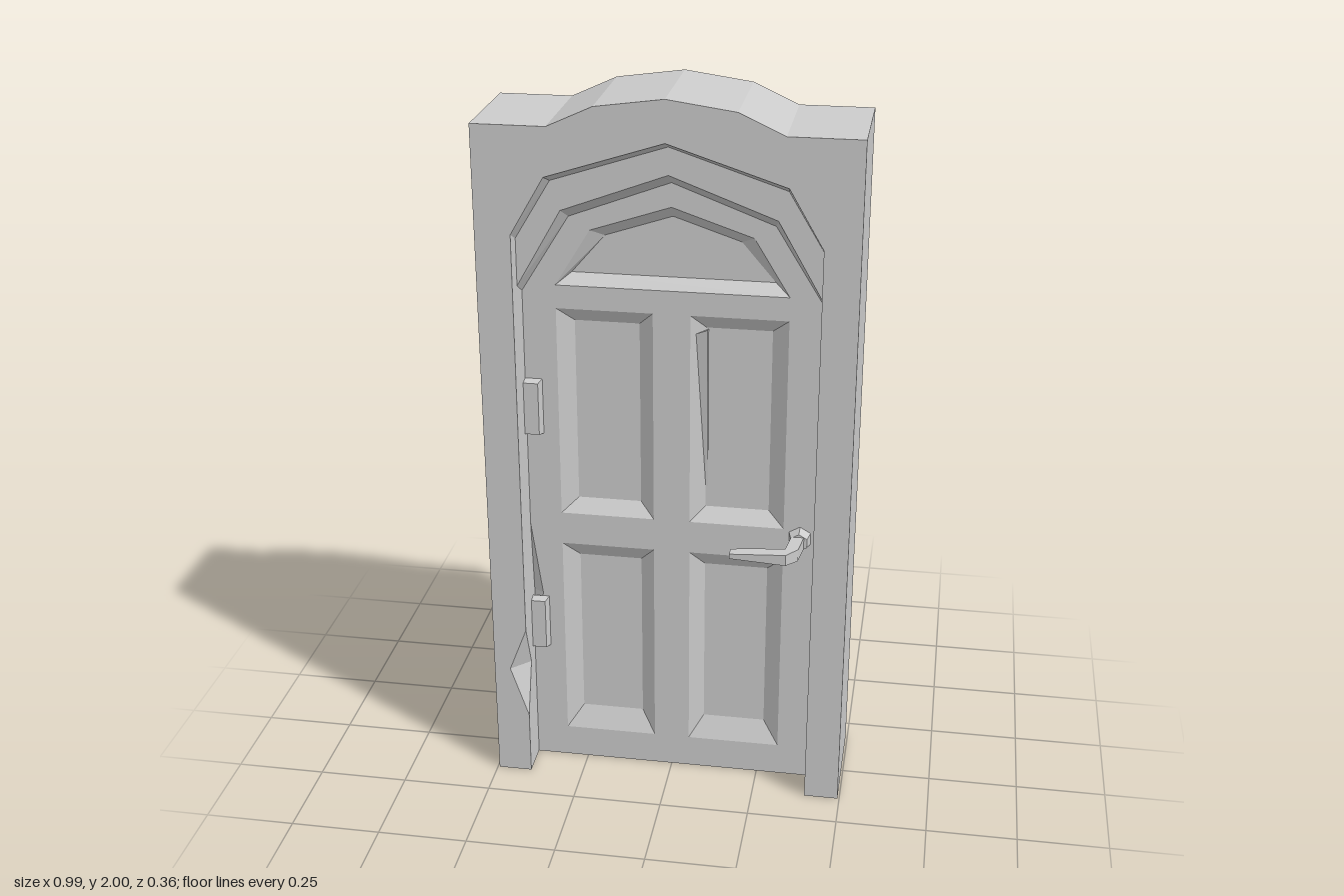
import * as THREE from 'three';
import { ConvexGeometry } from 'three/addons/geometries/ConvexGeometry.js';

const material = new THREE.MeshStandardMaterial({ color: 0xcccccc, flatShading: true, side: THREE.DoubleSide });

function add(parent, name, geometry) {
  const mesh = new THREE.Mesh(geometry, material);
  mesh.name = name;
  parent.add(mesh);
  return mesh;
}

const v2 = (list) => list.map(([x, y]) => new THREE.Vector2(x, y));
const at = (list, z) => list.map(([x, y]) => [x, y, z]);

// Flat polygon with holes, placed in space by a mapping rule
function sheet(outline, map, holes = []) {
  const shape = new THREE.Shape(v2(outline));
  holes.forEach((h) => shape.holes.push(new THREE.Path(v2(h))));
  const geo = new THREE.ShapeGeometry(shape);
  const p = geo.attributes.position;
  for (let i = 0; i < p.count; i++) p.setXYZ(i, ...map(p.getX(i), p.getY(i)));
  geo.computeVertexNormals();
  return geo;
}

// Band of quads joining two matching polylines
function strip(a, b, closed = false) {
  const pos = [];
  const n = a.length;
  for (let i = 0; i < (closed ? n : n - 1); i++) {
    const j = (i + 1) % n;
    pos.push(...a[i], ...b[i], ...b[j], ...a[i], ...b[j], ...a[j]);
  }
  return triangles(pos);
}

function triangles(pos) {
  const geo = new THREE.BufferGeometry();
  geo.setAttribute('position', new THREE.Float32BufferAttribute(pos, 3));
  geo.computeVertexNormals();
  return geo;
}

// Mirrors the left half of an arch, ending at the crown
const arch = (half) => [...half, ...half.slice(0, -1).reverse().map(([x, y]) => [-x, y])];
const rect = (x0, x1, y0, y1) => [[x0, y0], [x0, y1], [x1, y1], [x1, y0]];

const frameOutline = arch([[-0.495, 0], [-0.495, 1.92], [-0.3, 1.92], [-0.18, 1.975], [0, 2]]);
const outerArch = arch([[-0.4, 1.635], [-0.31, 1.79], [0, 1.89]]);
const outerArchInner = arch([[-0.4, 1.61], [-0.305, 1.768], [0, 1.868]]);
const doorArchOuter = arch([[-0.4, 1.48], [-0.28, 1.69], [0, 1.795]]);
const doorArch = arch([[-0.4, 1.45], [-0.27, 1.66], [0, 1.762]]);

// Outer and inner outlines of the sunken panels
const panels = [
  [arch([[-0.31, 1.47], [-0.215, 1.625], [0, 1.697]]), arch([[-0.27, 1.5], [-0.18, 1.605], [0, 1.665]])],
];
for (const [x0, x1, i0, i1] of [[-0.31, -0.05, -0.265, -0.09], [0.05, 0.31, 0.09, 0.265]]) {
  panels.push([rect(x0, x1, 0.8, 1.405), rect(i0, i1, 0.84, 1.365)]);
  panels.push([rect(x0, x1, 0.095, 0.705), rect(i0, i1, 0.16, 0.66)]);
}

// A chip is [bottom y, middle y, top y] on the x = -0.4 edge
function chipFill(parent, name, [low, mid, high], x, z, depth) {
  const tip = [x, mid, z];
  const deep = [-0.4, mid, z - depth];
  add(parent, name, triangles([-0.4, high, z, ...tip, ...deep, ...tip, -0.4, low, z, ...deep]));
}

// One face of the doorway: frame, stepped arches, door skin and panels
function doorwaySide(name, zFrame, zStep, zDoor, frameChip, doorChip) {
  const side = new THREE.Group();
  side.name = name;
  const [fl, fm, fh] = frameChip;
  const [dl, dm, dh] = doorChip;
  const flat = (z) => (x, y) => [x, y, z];

  add(side, 'frameFace', sheet([
    ...frameOutline, [0.4, 0], ...[...outerArch].reverse(),
    [-0.4, fh], [-0.45, fm], [-0.4, fl], [-0.4, 0],
  ], flat(zFrame)));
  chipFill(side, 'frameChip', frameChip, -0.45, zFrame, 0.05);

  // Reveals inside the jambs
  const top = [[zFrame, 1.635], [zStep, 1.61], [zStep, 1.48], [zDoor, 1.45]];
  add(side, 'chippedReveal', sheet([
    [zFrame, 0], [zFrame, fl], [zFrame - 0.05, fm], [zFrame, fh], ...top,
    [zDoor, dh], [zDoor - 0.02, dm], [zDoor, dl], [zDoor, 0],
  ], (z, y) => [-0.4, y, z]));
  add(side, 'plainReveal', sheet([[zFrame, 0], ...top, [zDoor, 0]], (z, y) => [0.4, y, z]));

  // Stepped arch mouldings
  add(side, 'outerArchBevel', strip(at(outerArch, zFrame), at(outerArchInner, zStep)));
  add(side, 'archStep', strip(at(outerArchInner, zStep), at(doorArchOuter, zStep)));
  add(side, 'innerArchBevel', strip(at(doorArchOuter, zStep), at(doorArch, zDoor)));

  // Door skin and sunken panels
  add(side, 'doorFace', sheet([
    [-0.4, 0], [-0.4, dl], [-0.37, dm], [-0.4, dh], ...doorArch, [0.4, 0],
  ], flat(zDoor), panels.map((p) => p[0])));
  chipFill(side, 'doorChip', doorChip, -0.37, zDoor, 0.02);
  for (const [outer, inner] of panels) {
    add(side, 'panelBevel', strip(at(outer, zDoor), at(inner, zDoor - 0.027), true));
    add(side, 'panel', sheet(inner, flat(zDoor - 0.027)));
  }
  return side;
}

// Lever handle and hinges; m = 1 puts the handle on +x, -1 on -x
function addHardware(side, m, zDoor) {
  const hub = add(side, 'handleHub', new THREE.CylinderGeometry(0.026, 0.034, 0.03, 6));
  hub.rotation.x = Math.PI / 2;
  hub.position.set(m * 0.355, 0.775, zDoor + 0.015);

  // Lever outline seen from above, thinned towards its tip
  const lever = new THREE.ExtrudeGeometry(new THREE.Shape(v2([
    [0.335, 0.02], [0.37, 0.02], [0.36, 0.1], [0.33, 0.135],
    [0.178, 0.135], [0.178, 0.105], [0.22, 0.1], [0.325, 0.098],
  ])), { depth: 1, bevelEnabled: false });
  const p = lever.attributes.position;
  for (let i = 0; i < p.count; i++) {
    const x = p.getX(i);
    const half = THREE.MathUtils.mapLinear(x, 0.178, 0.37, 0.007, 0.018);
    p.setXYZ(i, m * x, 0.775 + (p.getZ(i) - 0.5) * 2 * half, zDoor + p.getY(i));
  }
  lever.computeVertexNormals();
  add(side, 'handleLever', lever);

  for (const y of [1.12, 0.45]) {
    const pts = [];
    for (const h of [-1, 1]) {
      for (const [x, z, r] of [[-0.4, 0, 0.08], [-0.353, 0, 0.08], [-0.36, 0.025, 0.075], [-0.4, 0.025, 0.075]]) {
        pts.push(new THREE.Vector3(m * x, y + h * r, zDoor + z));
      }
    }
    add(side, 'hinge', new ConvexGeometry(pts));
  }
}

export function createModel() {
  const model = new THREE.Group();
  model.name = 'archedDoor';

  const front = doorwaySide('frontSide', 0.14, 0.09, 0.04, [0.19, 0.34, 0.47], [0.36, 0.54, 0.76]);
  addHardware(front, 1, 0.04);
  // Long splinter along a panel bevel
  add(front, 'splinter', new ConvexGeometry([
    [0.06, 1.35, 0.03], [0.095, 1.365, 0.035], [0.095, 1.36, 0.01], [0.097, 0.88, 0.012], [0.091, 0.88, 0.012],
  ].map((c) => new THREE.Vector3(...c))));
  model.add(front);

  const back = doorwaySide('backSide', 0.18, 0.11, 0.03, [0.48, 0.66, 0.8], [1.26, 1.35, 1.43]);
  addHardware(back, -1, 0.03);
  back.rotation.y = Math.PI;
  model.add(back);

  // Outer shell and underside
  add(model, 'frameShell', strip(at(frameOutline, 0.14), at(frameOutline, -0.18)));
  add(model, 'underside', sheet([
    [-0.495, 0.14], [-0.4, 0.14], [-0.4, 0.04], [0.4, 0.04], [0.4, 0.14], [0.495, 0.14],
    [0.495, -0.18], [0.4, -0.18], [0.4, -0.03], [-0.4, -0.03], [-0.4, -0.18], [-0.495, -0.18],
  ], (x, z) => [x, 0, z]));
  return model;
}
